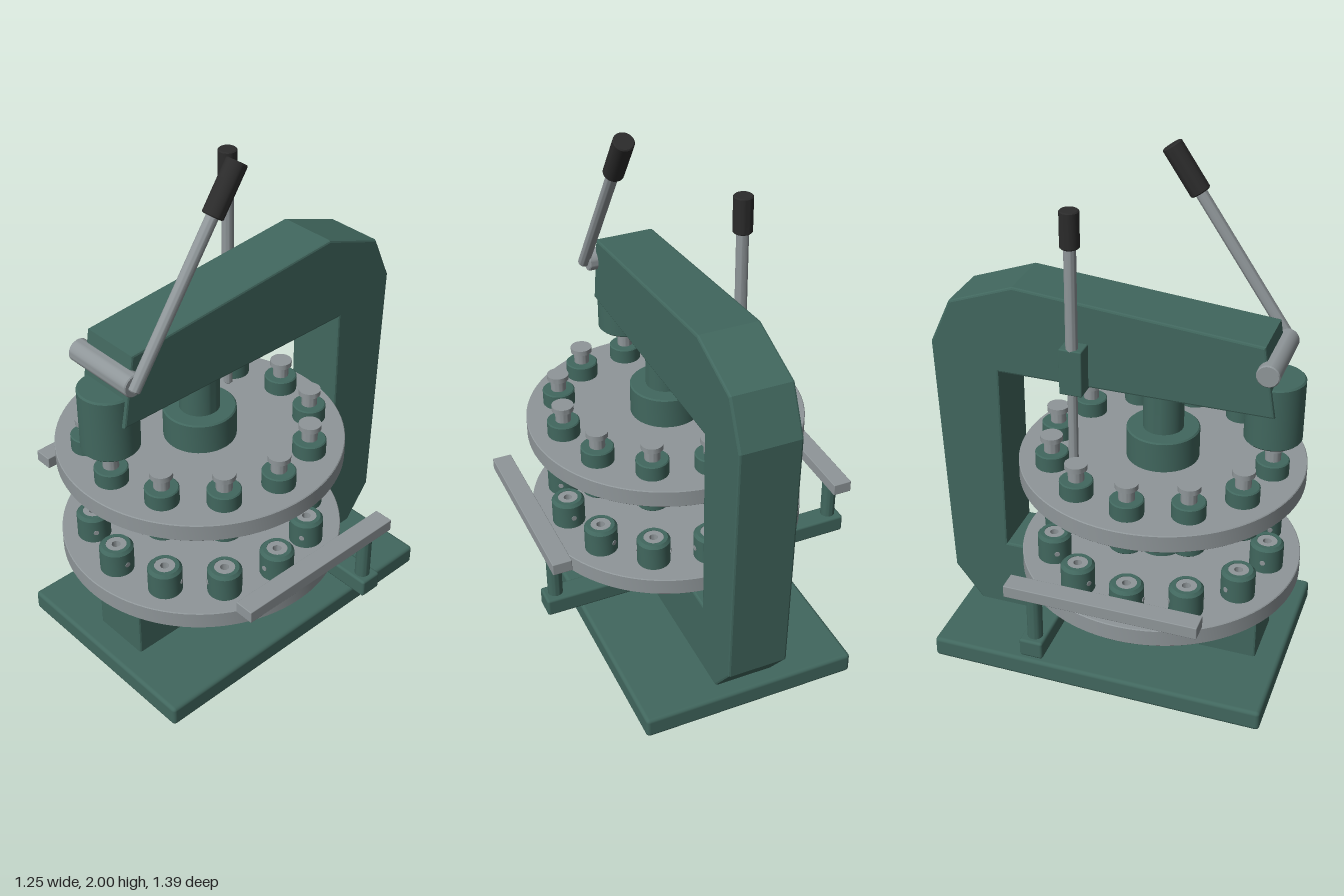
import * as THREE from 'three';
import { toCreasedNormals } from 'three/addons/utils/BufferGeometryUtils.js';
import { RoundedBoxGeometry } from 'three/addons/geometries/RoundedBoxGeometry.js';

const green = new THREE.MeshStandardMaterial({ color: 0x41675e });
const steel = new THREE.MeshStandardMaterial({ color: 0x8f9699 });
const black = new THREE.MeshStandardMaterial({ color: 0x2b2b2b });

const TURRET_Z = 0.167;   // axis of both turret discs
const STATIONS = 12;
const STATION_R = 0.413;

function add(parent, name, geometry, material, x = 0, y = 0, z = 0) {
  const mesh = new THREE.Mesh(geometry, material);
  mesh.name = name;
  mesh.position.set(x, y, z);
  parent.add(mesh);
  return mesh;
}

// Turned part from [radius, y] pairs, listed bottom to top
function turned(profile, segments = 32) {
  const points = profile.map(([r, y]) => new THREE.Vector2(r, y));
  return toCreasedNormals(new THREE.LatheGeometry(points, segments), 0.5);
}

// Solid cylinder between two heights with a small chamfer
function post(r, y0, y1, c = 0.004, segments = 32) {
  return turned([[0, y0], [r - c, y0], [r, y0 + c], [r, y1 - c], [r - c, y1], [0, y1]], segments);
}

// Box given by its extents
function block(parent, name, material, [x0, x1], [y0, y1], [z0, z1], radius) {
  const geometry = new RoundedBoxGeometry(x1 - x0, y1 - y0, z1 - z0, 2, radius);
  return add(parent, name, geometry, material, (x0 + x1) / 2, (y0 + y1) / 2, (z0 + z1) / 2);
}

// C-shaped frame, side profile in [z, y]
function frameGeometry() {
  const outline = [
    [0.585, 0.07], [0.585, 0.375], [-0.43, 0.375], [-0.43, 1.14], [0.6, 1.14], [0.555, 1.41],
    [-0.365, 1.49], [-0.615, 1.4], [-0.695, 1.225], [-0.66, 0.22], [-0.545, 0.07],
  ];
  const shape = new THREE.Shape(outline.map(([z, y]) => new THREE.Vector2(z, y)));
  const bevel = 0.008, width = 0.234;
  const geometry = new THREE.ExtrudeGeometry(shape, {
    depth: width - 2 * bevel, bevelThickness: bevel, bevelSize: bevel, bevelOffset: -bevel, bevelSegments: 2,
  });
  geometry.translate(0, 0, bevel - width / 2);
  geometry.rotateY(-Math.PI / 2);
  return geometry;
}

// Places a copy of a station at every turret position
function ring(parent, name, build) {
  for (let i = 0; i < STATIONS; i++) {
    const a = (i / STATIONS) * Math.PI * 2;
    const station = new THREE.Group();
    station.name = name;
    station.position.set(Math.sin(a) * STATION_R, 0, Math.cos(a) * STATION_R);
    station.rotation.y = a;
    build(station);
    parent.add(station);
  }
}

export function createModel() {
  const model = new THREE.Group();
  model.name = 'turretPunchPress';

  // Base and frame
  block(model, 'basePlate', green, [-0.42, 0.42], [0, 0.083], [-0.62, 0.68], 0.015);
  add(model, 'frame', frameGeometry(), green);

  // Ram under the nose of the frame
  add(model, 'ram', post(0.105, 1.0, 1.245, 0.006, 48), green, 0, 0, 0.575);

  // Turrets with their column
  const turret = new THREE.Group();
  turret.name = 'turret';
  turret.position.z = TURRET_Z;
  model.add(turret);
  add(turret, 'column', post(0.09, 0.38, 0.9, 0.004, 48), green);
  add(turret, 'upperColumn', post(0.075, 0.9, 1.15, 0.004, 48), green);
  add(turret, 'collar', post(0.135, 0.84, 0.97, 0.005, 48), green);
  add(turret, 'lowerDisc', post(0.532, 0.374, 0.442, 0.003, 96), steel);
  add(turret, 'upperDisc', post(0.532, 0.782, 0.85, 0.003, 96), steel);

  // Punch holders in the upper disc
  const holder = post(0.061, 0.715, 0.91);
  const punch = turned([
    [0, 0.905], [0.029, 0.905], [0.029, 0.952], [0.041, 0.955], [0.041, 0.975], [0, 0.975],
  ]);
  const tip = post(0.016, 0.685, 0.72, 0.002, 20);
  ring(turret, 'punchStation', (station) => {
    add(station, 'punchHolder', holder, green);
    add(station, 'punchHead', punch, steel);
    add(station, 'punchTip', tip, steel);
  });

  // Die holders on the lower disc, each with a bored die and two set screws
  const cup = turned([[0.063, 0.435], [0.063, 0.537], [0.053, 0.549], [0.038, 0.549], [0.038, 0.53]]);
  const die = turned([[0.038, 0.53], [0.038, 0.547], [0.016, 0.547], [0.016, 0.5], [0, 0.5]]);
  const screw = new THREE.CylinderGeometry(0.01, 0.01, 0.13, 16).rotateZ(Math.PI / 2);
  ring(turret, 'dieStation', (station) => {
    add(station, 'dieHolder', cup, green);
    add(station, 'die', die, steel);
    add(station, 'setScrews', screw, steel, 0, 0.488, 0);
  });

  // Side supports
  block(model, 'crossArm', green, [-0.623, 0.623], [0.29, 0.361], [-0.168, -0.08], 0.01);
  for (const side of [-1, 1]) {
    add(model, 'supportPost', post(0.028, 0.35, 0.535, 0.002), green, side * 0.577, 0, -0.122);
    const bar = block(model, 'supportBar', steel, [-0.037, 0.037], [0.53, 0.577], [-0.225, 0.485], 0.003);
    bar.position.x = side * 0.575;
  }

  // Operating lever on the pivot shaft
  const shaft = add(model, 'pivotShaft', post(0.042, -0.15, 0.15), steel, 0, 1.32, 0.575);
  shaft.rotation.z = Math.PI / 2;
  const lever = new THREE.Group();
  lever.name = 'operatingLever';
  lever.position.set(0.158, 1.32, 0.578);
  lever.rotation.x = -Math.atan2(0.45, 0.66);
  add(lever, 'leverRod', post(0.022, -0.015, 0.62), steel);
  add(lever, 'leverGrip', post(0.038, 0.605, 0.796), black);
  model.add(lever);

  // Indexing pin with its guide on the right side of the frame
  const index = new THREE.Group();
  index.name = 'indexPin';
  index.position.set(-0.163, 0, -0.123);
  block(index, 'guideBlock', green, [-0.022, 0.06], [1.135, 1.315], [-0.043, 0.043], 0.005);
  add(index, 'pin', post(0.018, 0.85, 1.2), steel);
  add(index, 'pinRod', post(0.022, 1.3, 1.71), steel);
  add(index, 'pinGrip', post(0.035, 1.695, 1.83), black);
  model.add(index);

  return model;
}
